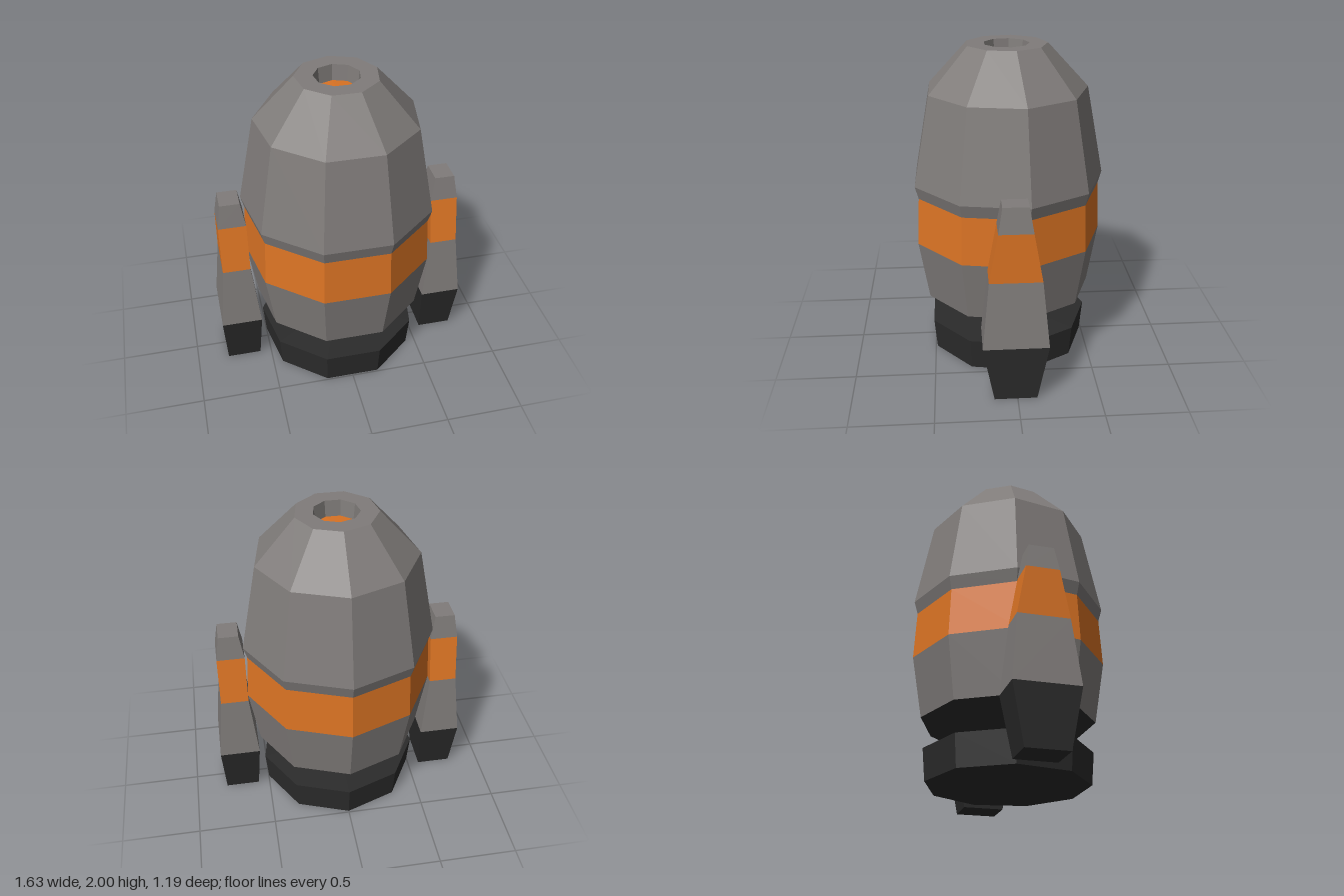
import * as THREE from 'three';

const SIDES = 9;
const CENTRE_Z = 0.015;

function material(name, color) {
  const m = new THREE.MeshStandardMaterial({ color, flatShading: true });
  m.name = name;
  return m;
}

// Nine-sided ring shell from [radius, y] pairs, with one corner at the back
function ring(name, profile, mat) {
  const points = profile.map(([r, y]) => new THREE.Vector2(r, y));
  const mesh = new THREE.Mesh(new THREE.LatheGeometry(points, SIDES, Math.PI), mat);
  mesh.name = name;
  return mesh;
}

// Tapered block between two rectangular sections { y, x, w, d } (w and d are half sizes)
function taperedBlock(name, low, high, mat) {
  const geo = new THREE.BoxGeometry(2, 2, 2);
  const pos = geo.attributes.position;
  for (let i = 0; i < pos.count; i++) {
    const s = pos.getY(i) > 0 ? high : low;
    pos.setXYZ(i, s.x + pos.getX(i) * s.w, s.y, pos.getZ(i) * s.d);
  }
  geo.computeVertexNormals();
  const mesh = new THREE.Mesh(geo, mat);
  mesh.name = name;
  return mesh;
}

export function createModel() {
  const grey = material('warm grey', 0x807c7a);
  const orange = material('orange', 0xdc7424);
  const dark = material('charcoal', 0x2b2b2b);

  const model = new THREE.Group();
  model.name = 'pod';

  // Faceted barrel body on its base
  const body = new THREE.Group();
  body.name = 'body';
  body.position.z = CENTRE_Z;
  body.add(
    ring('base', [[0, 0], [0.505, 0], [0.523, 0.2], [0.22, 0.216]], dark),
    ring('underside', [[0.22, 0.216], [0.543, 0.39]], dark),
    ring('lowerHull', [[0.543, 0.39], [0.608, 0.775]], grey),
    ring('hullBand', [[0.608, 0.775], [0.593, 1.08]], orange),
    // Upper hull turns in over the rim and down into the nozzle
    ring('upperHull', [
      [0.593, 1.08], [0.616, 1.16], [0.508, 1.725], [0.254, 2], [0.142, 2], [0.132, 1.9],
    ], grey),
    ring('nozzleFloor', [[0.132, 1.9], [0, 1.91]], orange),
  );
  model.add(body);

  // Side boosters, stacked from four tapered sections
  const parts = [['boosterFoot', dark], ['boosterLower', grey], ['boosterBand', orange], ['boosterTip', grey]];
  for (const side of [1, -1]) {
    const sections = [
      { y: 0, x: 0.685, w: 0.11, d: 0.13 },
      { y: 0.36, x: 0.685, w: 0.13, d: 0.198 },
      { y: 0.775, x: 0.688, w: 0.088, d: 0.157 },
      { y: 1.08, x: 0.688, w: 0.088, d: 0.102 },
      { y: 1.235, x: 0.69, w: 0.063, d: 0.077 },
    ].map((s) => ({ ...s, x: s.x * side }));
    const booster = new THREE.Group();
    booster.name = side > 0 ? 'leftBooster' : 'rightBooster';
    booster.position.z = 0.011;
    parts.forEach(([name, mat], i) => booster.add(taperedBlock(name, sections[i], sections[i + 1], mat)));
    model.add(booster);
  }

  return model;
}
